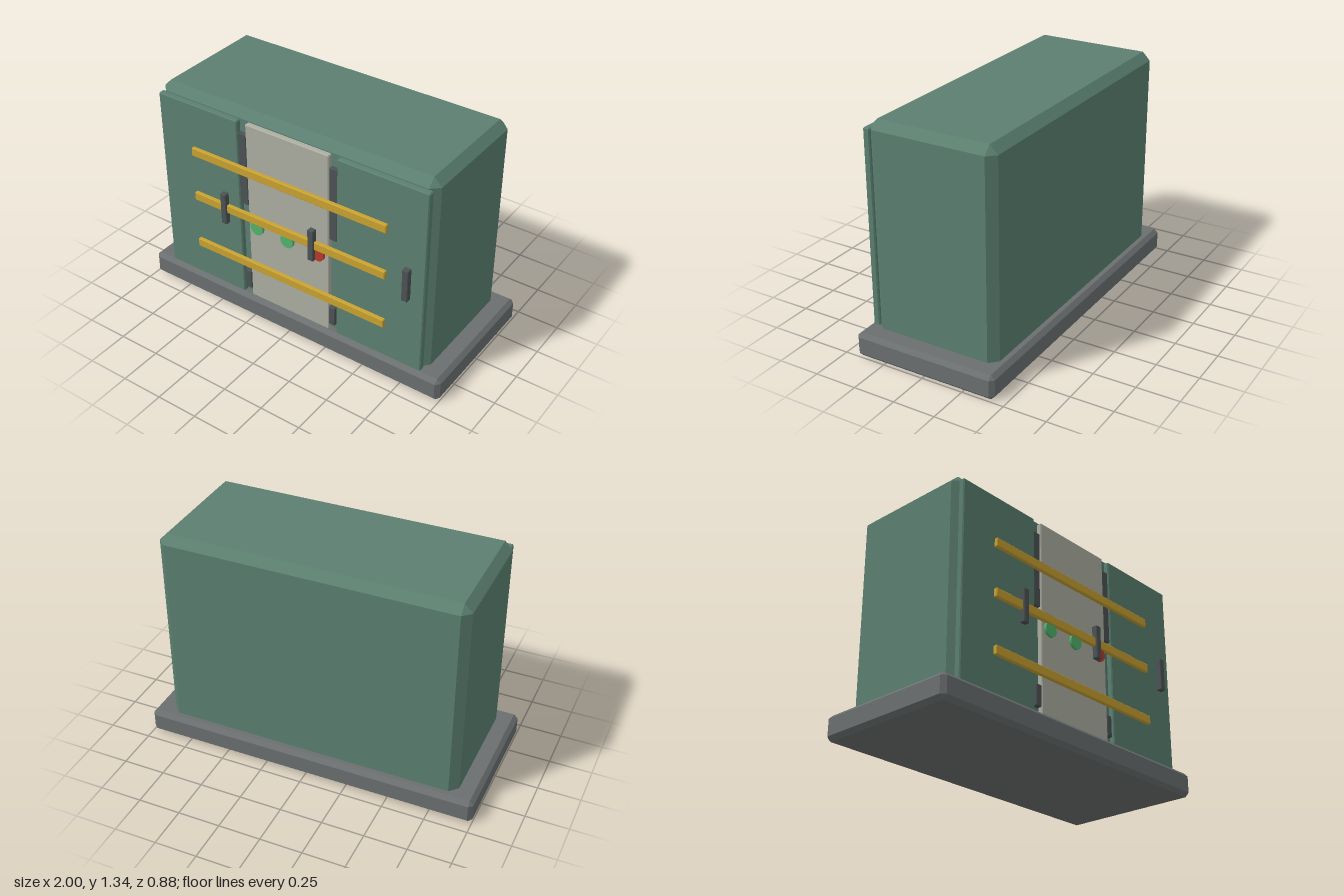
import * as THREE from 'three';
import { ConvexGeometry } from 'three/addons/geometries/ConvexGeometry.js';

const paint = (color) => new THREE.MeshStandardMaterial({ color });
const GREEN = paint(0x5b7f70);
const BASE = paint(0x6b6f70);
const DARK = paint(0x4c5254);
const PANEL = paint(0xacaea1);
const YELLOW = paint(0xc9a230);
const LAMP_GREEN = paint(0x52b36c);
const LAMP_RED = paint(0xb8382c);

// Box between two corners with every edge chamfered by c
function chamferBox(name, [x0, x1], [y0, y1], [z0, z1], c, material) {
  const half = [(x1 - x0) / 2, (y1 - y0) / 2, (z1 - z0) / 2];
  const points = [];
  for (const sx of [-1, 1]) for (const sy of [-1, 1]) for (const sz of [-1, 1]) {
    for (let outer = 0; outer < 3; outer++) {
      const p = half.map((h, axis) => (axis === outer ? h : h - c));
      points.push(new THREE.Vector3(sx * p[0], sy * p[1], sz * p[2]));
    }
  }
  const mesh = new THREE.Mesh(new ConvexGeometry(points), material);
  mesh.name = name;
  mesh.position.set((x0 + x1) / 2, (y0 + y1) / 2, (z0 + z1) / 2);
  return mesh;
}

export function createModel() {
  const model = new THREE.Group();
  model.name = 'cabinet';
  const add = (...args) => model.add(chamferBox(...args));

  // Plinth and main housing
  add('plinth', [-1, 1], [0, 0.145], [-0.437, 0.43], 0.024, BASE);
  add('housing', [-0.89, 0.89], [0.05, 1.34], [-0.385, 0.375], 0.047, GREEN);

  // Doors either side of the control panel
  add('rightDoor', [-0.872, -0.325], [0.12, 1.287], [0.365, 0.405], 0.006, GREEN);
  add('leftDoor', [0.322, 0.869], [0.12, 1.287], [0.365, 0.405], 0.006, GREEN);
  add('controlPanel', [-0.27, 0.27], [0.12, 1.287], [0.365, 0.403], 0.005, PANEL);

  // Hinges in the gaps beside the panel
  for (const side of [-1, 1]) {
    const xs = side < 0 ? [-0.326, -0.272] : [0.268, 0.324];
    add('upperHinge', xs, [0.76, 1.215], [0.365, 0.398], 0.005, DARK);
    const low = side < 0 ? [-0.313, -0.272] : [0.27, 0.31];
    add('lowerHinge', low, [0.18, 0.305], [0.365, 0.403], 0.005, DARK);
  }

  // Horizontal guard rails
  for (const y of [0.375, 0.7, 0.995]) {
    add('guardRail', [-0.64, 0.64], [y - 0.026, y + 0.026], [0.403, 0.428], 0.004, YELLOW);
  }

  // Vertical handles
  for (const x of [-0.424, 0.173, 0.769]) {
    add('handle', [x - 0.019, x + 0.019], [0.6, 0.8], [0.404, 0.439], 0.004, DARK);
  }

  // Indicator lamps
  [[-0.207, LAMP_GREEN], [0, LAMP_GREEN], [0.205, LAMP_RED]].forEach(([x, material]) => {
    const lamp = new THREE.Mesh(new THREE.CylinderGeometry(0.043, 0.043, 0.03, 24), material);
    lamp.name = 'indicatorLamp';
    lamp.rotation.x = Math.PI / 2;
    lamp.position.set(x, 0.645, 0.403);
    model.add(lamp);
  });

  return model;
}
